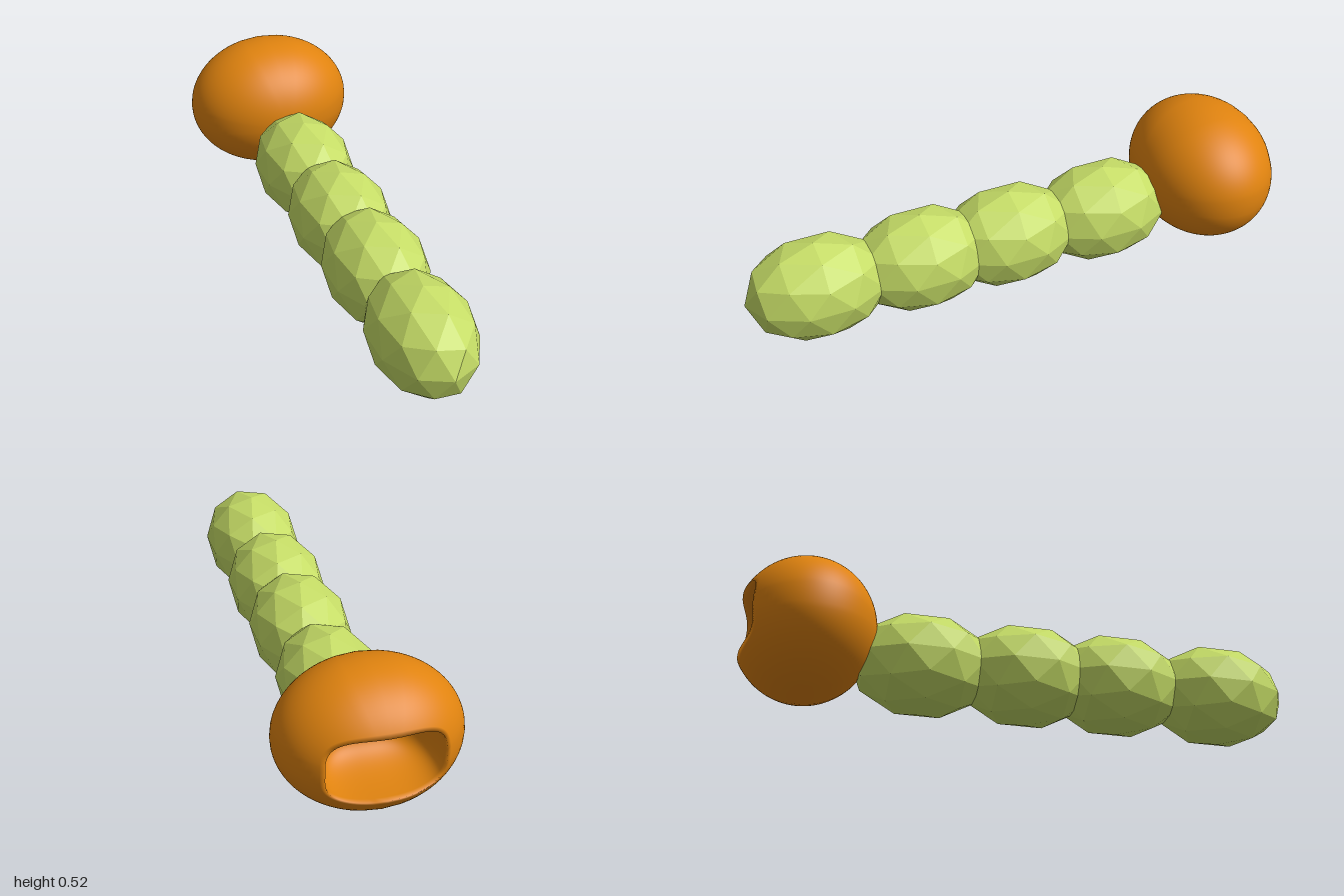
import * as THREE from 'three';
import { mergeVertices } from 'three/addons/utils/BufferGeometryUtils.js';

// Faceted body ball: subdivided icosahedron with a vertex straight up
function segmentGeometry() {
  const g = new THREE.IcosahedronGeometry(1, 1);
  g.rotateZ(Math.atan(2 / (1 + Math.sqrt(5))));
  g.rotateY(Math.PI);
  g.scale(0.179, 0.189, 0.26);
  g.computeVertexNormals();
  return g;
}

// Smooth ellipsoid whose pole rows are pushed inwards to form the mouth
function headGeometry() {
  const W = 96, H = 72, INNER = 32;
  const R = { x: 0.312, y: 0.25, z: 0.25 };
  const mouth = { x: 0.195, y: 0.115, floor: 0.02 };
  const soft = (v, p) => Math.sign(v) * Math.pow(Math.abs(v), p);
  const g = new THREE.SphereGeometry(1, W, H);
  const pos = g.attributes.position;
  for (let i = 0; i < pos.count; i++) {
    const row = Math.floor(i / (W + 1));
    const a = ((i % (W + 1)) % W) / W * Math.PI * 2;
    // Rounded rectangular mouth outline, lying on the ellipsoid
    const mx = -soft(Math.cos(a), 0.6) * mouth.x;
    const my = soft(Math.sin(a), 0.6) * mouth.y;
    const rho = Math.hypot(mx / R.x, my / R.y);
    const phi0 = Math.asin(rho);
    if (row < INNER) {
      // Cavity, from the middle of its floor out to the rim
      const t = (1 - row / INNER) * Math.PI / 2;
      const s = row === 0 ? 0 : Math.pow(Math.cos(t), 0.7);
      const depth = Math.pow(Math.sin(t), 0.8);
      const rimZ = -Math.cos(phi0) * R.z;
      pos.setXYZ(i, mx * s, my * s, rimZ + (mouth.floor - rimZ) * depth);
    } else {
      // Outer skin, from the rim to the far pole
      const phi = phi0 + (Math.PI - phi0) * (row - INNER) / (H - INNER);
      const k = Math.sin(phi) / rho;
      pos.setXYZ(i, mx * k, my * k, -Math.cos(phi) * R.z);
    }
  }
  g.deleteAttribute('uv');
  g.deleteAttribute('normal');
  const merged = mergeVertices(g, 1e-5);
  merged.computeVertexNormals();
  return merged;
}

export function createModel() {
  const model = new THREE.Group();
  model.name = 'caterpillar';

  // Row of four body segments
  const green = new THREE.MeshStandardMaterial({ color: 0xc5dc66, flatShading: true });
  const body = new THREE.Group();
  body.name = 'body';
  const ball = segmentGeometry();
  [0.74, 0.355, 0.017, -0.358].forEach((z, i) => {
    const segment = new THREE.Mesh(ball, green);
    segment.name = `bodySegment${i + 1}`;
    segment.position.set(0, 0.189, z);
    body.add(segment);
  });
  model.add(body);

  // Head with open mouth facing the back
  const head = new THREE.Mesh(headGeometry(), new THREE.MeshStandardMaterial({ color: 0xe0830f }));
  head.name = 'head';
  head.position.set(0, 0.272, -0.775);
  model.add(head);

  return model;
}
